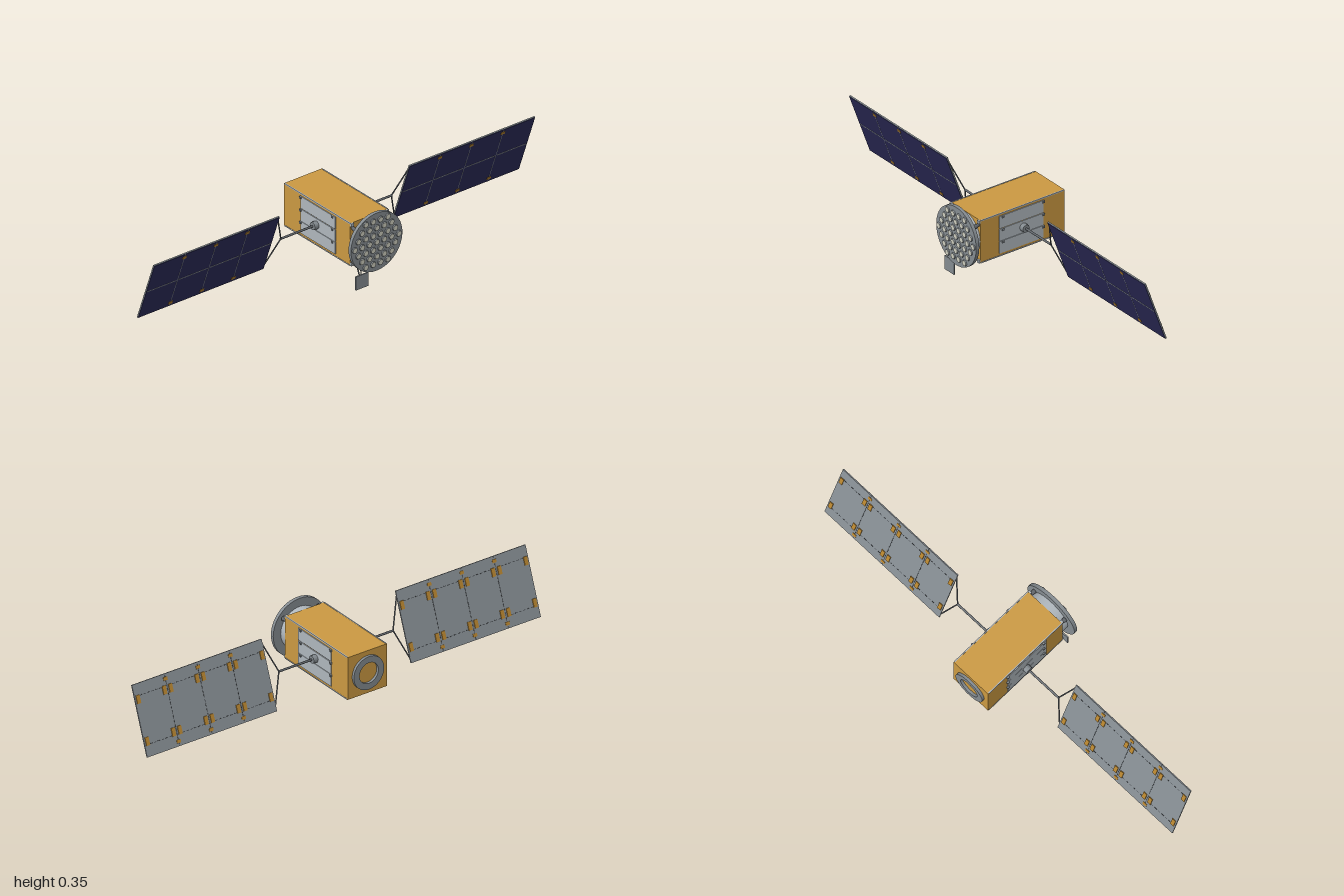
import * as THREE from 'three';

const mat = (name, color, extra = {}) => Object.assign(new THREE.MeshStandardMaterial({ color, ...extra }), { name });

export function createModel() {
  const gold = mat('gold foil', 0xcc9a42);
  const hinge = mat('hinge bronze', 0xb5832f);
  const navy = mat('solar cell navy', 0x2d2c5a);
  const grey = mat('panel grey', 0x858c91);
  const light = mat('radiator light grey', 0xb0b8be);
  const dark = mat('strut dark grey', 0x62676c);
  const seam = mat('seam charcoal', 0x3c4044);
  const cream = mat('antenna cream', 0xcfcfc0);

  const model = new THREE.Group();
  model.name = 'satellite';
  const CY = 0.2, WZ = -0.021;

  const add = (parent, name, geo, material, x = 0, y = 0, z = 0) => {
    const m = new THREE.Mesh(geo, material);
    m.name = name;
    m.position.set(x, y, z);
    parent.add(m);
    return m;
  };
  const box = (parent, name, material, w, h, d, x, y, z) =>
    add(parent, name, new THREE.BoxGeometry(w, h, d), material, x, y, z);
  // cylinder whose axis runs along z
  const disc = (parent, name, material, r0, r1, depth, sides, x, y, z) =>
    add(parent, name, new THREE.CylinderGeometry(r1, r0, depth, sides).rotateX(Math.PI / 2), material, x, y, z);
  // straight rod between two points
  const rod = (parent, name, material, a, b, r) => {
    const p = new THREE.Vector3(...a), q = new THREE.Vector3(...b);
    const m = add(parent, name, new THREE.CylinderGeometry(r, r, p.distanceTo(q), 8), material);
    m.position.copy(p).add(q).multiplyScalar(0.5);
    m.quaternion.setFromUnitVectors(new THREE.Vector3(0, 1, 0), q.sub(p).normalize());
    return m;
  };

  // Main body with edge rails and front corner blocks
  const body = new THREE.Group();
  body.name = 'body';
  model.add(body);
  box(body, 'bodyShell', gold, 0.198, 0.198, 0.433, 0, CY, -0.0215);
  for (const sx of [-1, 1]) for (const sy of [-1, 1]) {
    box(body, 'edgeRail', light, 0.005, 0.005, 0.428, sx * 0.0978, CY + sy * 0.0978, -0.02);
    box(body, 'cornerBlock', light, 0.014, 0.014, 0.009, sx * 0.092, CY + sy * 0.092, 0.1985);
  }

  // Side radiators with clips, and the wing drive hub
  for (const s of [-1, 1]) {
    for (const y of [0.26, 0.2005, 0.1425]) {
      box(body, 'radiator', light, 0.005, 0.056, 0.226, s * 0.1, y, -0.0125);
      for (const z of [0.083, -0.125])
        box(body, 'radiatorClip', grey, 0.008, 0.01, 0.01, s * 0.103, y + 0.023, z);
    }
    const hub = add(body, 'wingHub', new THREE.CylinderGeometry(0.018, 0.018, 0.024, 8), grey, s * 0.112, CY, WZ);
    hub.rotation.z = Math.PI / 2;
    hub.material = grey;
  }

  // Front antenna: neck, round plate, hexagonal array of cups
  const antenna = new THREE.Group();
  antenna.name = 'antenna';
  model.add(antenna);
  disc(antenna, 'antennaNeck', light, 0.097, 0.097, 0.04, 40, 0, CY, 0.212);
  disc(antenna, 'antennaPlate', grey, 0.135, 0.135, 0.016, 48, 0, CY, 0.237);
  for (let r = -3; r <= 3; r++) {
    const n = 7 - Math.abs(r);
    for (let i = 0; i < n; i++) {
      const x = (i - (n - 1) / 2) * 0.0385, y = CY + r * 0.0333;
      disc(antenna, 'antennaCup', grey, 0.0145, 0.0125, 0.005, 12, x, y, 0.247);
      disc(antenna, 'antennaCupFace', cream, 0.0115, 0.0115, 0.001, 12, x, y, 0.2496);
    }
  }

  // Small thrusters beside the neck
  for (const s of [-1, 1]) {
    const t = disc(model, 'thruster', dark, 0.006, 0.011, 0.028, 12, s * 0.088, 0.274, 0.208);
    t.rotation.x = 0.15;
  }

  // Low plate antenna on its strut
  box(model, 'lowPlate', grey, 0.066, 0.063, 0.006, -0.065, 0.0315, 0.229);
  rod(model, 'lowPlateStrut', dark, [-0.068, 0.033, 0.225], [-0.068, 0.104, 0.196], 0.003);
  rod(model, 'lowPlateStrut', dark, [-0.062, 0.033, 0.225], [-0.05, 0.104, 0.196], 0.002);

  // Rear ring, open in the middle
  const ring = [[0.048, 0], [0.077, 0], [0.077, 0.012], [0.048, 0.012], [0.048, 0]];
  for (let i = 0; i < 4; i++) {
    const wall = ring.slice(i, i + 2).map(p => new THREE.Vector2(...p));
    const m = add(model, 'rearRing', new THREE.LatheGeometry(wall, 40), ringMat(), 0, CY, -0.238);
    m.rotation.x = -Math.PI / 2;
  }
  function ringMat() {
    grey.side = THREE.DoubleSide;
    return grey;
  }

  // Solar wings, tilted about the boom
  const X0 = 0.34, STEP = 0.165, HALF = 0.155;
  for (const s of [-1, 1]) {
    const wing = new THREE.Group();
    wing.name = s > 0 ? 'leftWing' : 'rightWing';
    wing.position.set(0, CY, WZ);
    wing.rotation.x = 0.353;
    model.add(wing);

    // Boom and V-shaped yoke
    rod(wing, 'boom', dark, [s * 0.1, 0, 0], [s * 0.292, 0, 0], 0.005);
    for (const v of [-1, 1])
      rod(wing, 'yoke', dark, [s * 0.29, 0, 0], [s * 0.342, v * 0.135, 0], 0.003);

    // Four panels: grey backing with a dark cell face
    for (let i = 0; i < 4; i++) {
      const x = s * (X0 + STEP * (i + 0.5));
      box(wing, 'panelBacking', grey, STEP - 0.001, HALF * 2, 0.006, x, 0, -0.0005);
      box(wing, 'solarCells', navy, STEP - 0.003, HALF * 2 - 0.004, 0.002, x, 0, 0.0031);
      box(wing, 'cellMidline', grey, STEP - 0.012, 0.005, 0.001, x, 0, 0.0042);
      // dashed lines along the back
      for (const v of [-1, 1]) for (let k = 0; k < 8; k++)
        box(wing, 'backDash', seam, 0.012, 0.0025, 0.001, x + (k - 3.5) * 0.02, v * 0.104, -0.0037);
    }

    // Seams, hinges and back pads
    for (let i = 0; i <= 4; i++) {
      const x = s * (X0 + STEP * i);
      const inner = i > 0 && i < 4;
      if (inner) {
        box(wing, 'frontSeam', grey, 0.003, HALF * 2 - 0.004, 0.001, x, 0, 0.004);
        for (let k = 0; k < 14; k++)
          box(wing, 'seamDash', seam, 0.0025, 0.013, 0.001, x, (k - 6.5) * 0.021, -0.0037);
        for (const v of [-1, 1])
          box(wing, 'hinge', hinge, 0.02, 0.014, 0.011, x, v * 0.134, 0);
      }
      for (const v of [-1, 1]) for (const e of [-1, 1]) {
        if ((i === 0 && e < 0) || (i === 4 && e > 0)) continue;
        box(wing, 'backPad', hinge, 0.018, 0.036, 0.004, x + s * e * 0.016, v * 0.09, -0.0052);
      }
    }
  }
  return model;
}
